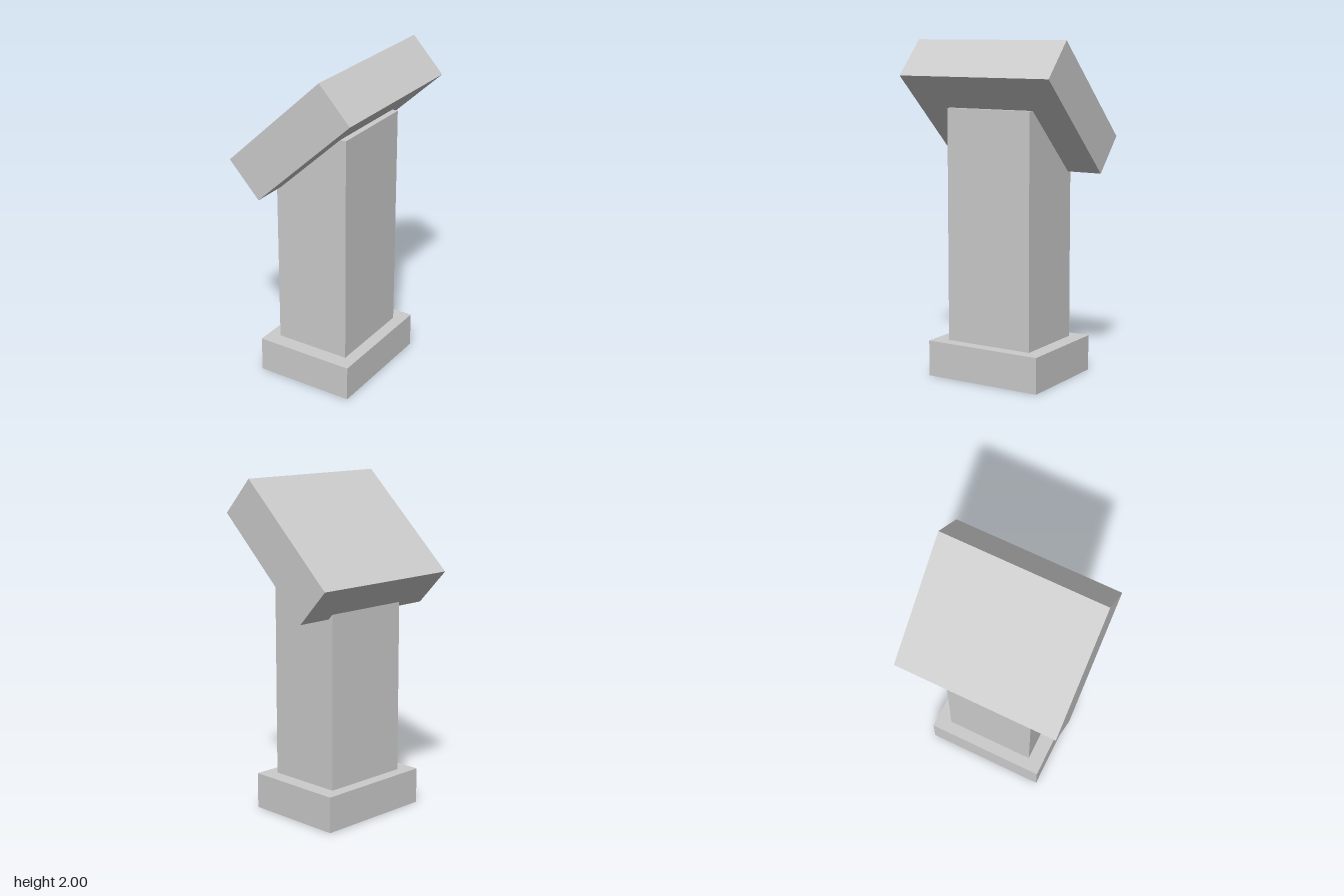
import * as THREE from 'three';

export function createModel() {
  const group = new THREE.Group();
  group.name = 'lectern';
  const material = new THREE.MeshStandardMaterial({ color: 0xcccccc, flatShading: true });

  const add = (name, geometry, y) => {
    const mesh = new THREE.Mesh(geometry, material);
    mesh.name = name;
    mesh.position.y = y;
    group.add(mesh);
    return mesh;
  };

  // Plinth
  add('base', new THREE.BoxGeometry(0.62, 0.215, 0.746), 0.1075);

  // Column, its top cut to a slope inside the tilted slab
  const profile = new THREE.Shape([
    [-0.236, 0], [0.236, 0], [0.236, 1.39], [0.15, 1.39], [-0.236, 1.08],
  ].map(([x, y]) => new THREE.Vector2(x, y)));
  const columnGeometry = new THREE.ExtrudeGeometry(profile, { depth: 0.56, bevelEnabled: false });
  columnGeometry.translate(0, 0, -0.28);
  add('column', columnGeometry, 0.215);

  // Tilted reading slab
  const slab = add('slab', new THREE.BoxGeometry(0.834, 0.283, 1), 1.612);
  slab.rotation.z = THREE.MathUtils.degToRad(43.2);

  return group;
}
